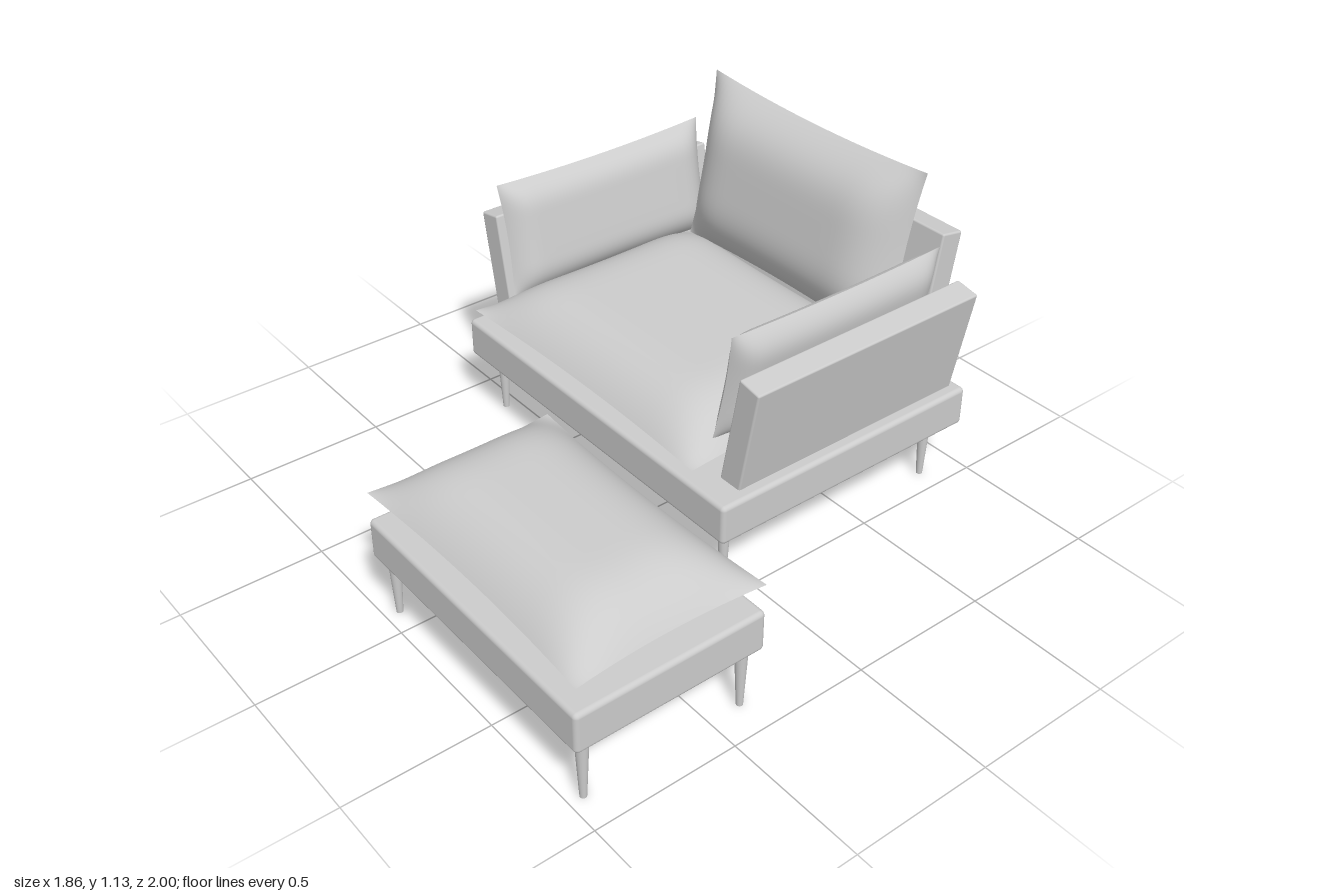
import * as THREE from 'three';
import { RoundedBoxGeometry } from 'three/addons/geometries/RoundedBoxGeometry.js';
import { mergeGeometries } from 'three/addons/utils/BufferGeometryUtils.js';

const fabric = new THREE.MeshStandardMaterial({ color: 0xcccccc });
fabric.name = 'light grey';

const CX = -0.2025; // middle of the armchair

function add(parent, name, geometry, x, y, z) {
  const mesh = new THREE.Mesh(geometry, fabric);
  mesh.name = name;
  mesh.position.set(x, y, z);
  parent.add(mesh);
  return mesh;
}

// Stuffed cushion lying flat: two bulging faces meeting in a sharp seam,
// with the middle of each side drawn slightly inwards
function cushion(w, d, top, bottom, roll = 0.3, pinch = 0.02) {
  const rise = (t, half) => {
    const r = Math.min(roll, half);
    const k = Math.min(1, (half * (1 - Math.abs(t))) / r);
    return 1 - (1 - k) ** 3;
  };
  const half = (side, bulge) => {
    const g = new THREE.PlaneGeometry(2, 2, 36, 36).rotateX((-side * Math.PI) / 2);
    const p = g.attributes.position;
    for (let i = 0; i < p.count; i++) {
      const u = Math.sin((p.getX(i) * Math.PI) / 2);
      const v = Math.sin((p.getZ(i) * Math.PI) / 2);
      p.setXYZ(i,
        u * (w / 2 - pinch * (1 - v * v)),
        side * bulge * rise(u, w / 2) * rise(v, d / 2),
        v * (d / 2 - pinch * (1 - u * u)));
    }
    g.computeVertexNormals();
    return g;
  };
  return mergeGeometries([half(1, top), half(-1, bottom)]);
}

// Upholstered plinth on four tapered legs
function plinth(parent, w, d, x, z, legXs, legZs) {
  add(parent, 'base', new RoundedBoxGeometry(w, 0.145, d, 4, 0.016), x, 0.2925, z);
  const leg = new THREE.CylinderGeometry(0.022, 0.011, 0.225, 20);
  for (const lx of legXs) for (const lz of legZs) add(parent, 'leg', leg, lx, 0.1125, lz);
}

export function createModel() {
  const model = new THREE.Group();
  model.name = 'armchairWithFootstool';

  // Armchair
  const chair = new THREE.Group();
  chair.name = 'armchair';
  model.add(chair);
  plinth(chair, 1.405, 1.07, CX, -0.405, [CX - 0.617, CX + 0.617], [0.05, -0.85]);
  add(chair, 'seatCushion', cushion(1.19, 0.965, 0.12, 0.1), -0.205, 0.465, -0.3175);

  // Leaning backrest and its cushion
  const back = add(chair, 'backrest', new RoundedBoxGeometry(1.125, 0.56, 0.09, 3, 0.007), CX, 0.617, -0.908);
  back.rotation.x = -0.172;
  const backCushion = add(chair, 'backCushion', cushion(1.035, 0.63, 0.115, 0.1, 0.26), -0.195, 0.818, -0.79);
  backCushion.rotation.x = Math.PI / 2 - 0.18;

  // Splayed arms with upright cushions
  const armShape = new RoundedBoxGeometry(0.09, 0.46, 0.94, 3, 0.007);
  const armCushionShape = cushion(0.42, 0.88, 0.057, 0.057, 0.13, 0.012);
  for (const s of [-1, 1]) {
    const arm = add(chair, s < 0 ? 'rightArm' : 'leftArm', armShape, CX + s * 0.646, 0.537, -0.44);
    arm.rotation.z = -s * 0.185;
    const pad = add(chair, s < 0 ? 'rightArmCushion' : 'leftArmCushion', armCushionShape, CX + s * 0.576, 0.7, -0.4);
    pad.rotation.z = -s * (Math.PI / 2 + 0.185);
  }

  // Footstool
  const stool = new THREE.Group();
  stool.name = 'footstool';
  model.add(stool);
  plinth(stool, 1.06, 0.67, 0.395, 0.665, [-0.09, 0.88], [0.95, 0.38]);
  add(stool, 'footstoolCushion', cushion(1.055, 0.66, 0.12, 0.1), 0.3975, 0.465, 0.665);

  return model;
}
